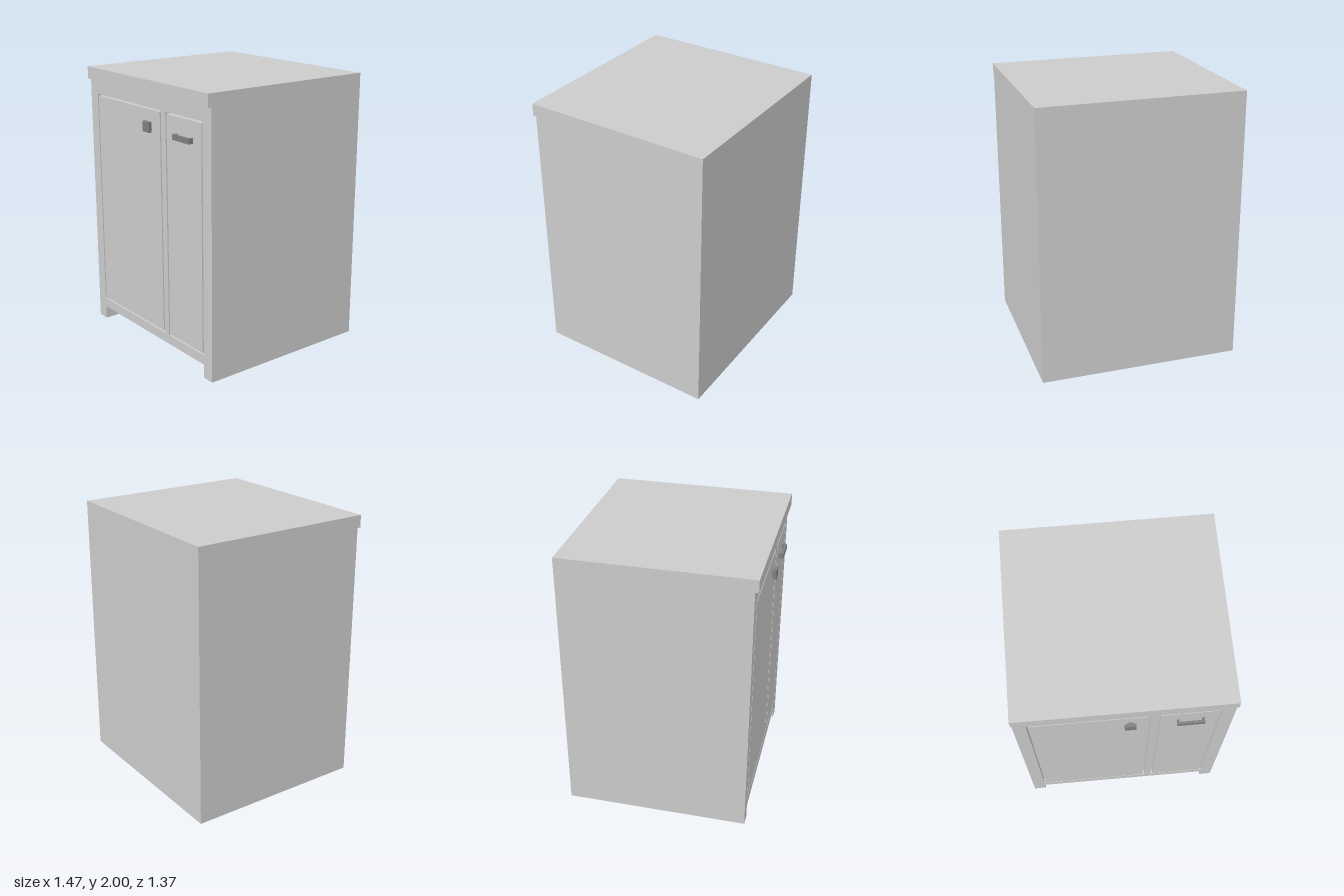
import * as THREE from 'three';

const W = 0.733, BACK = -0.685, KICK = 0.47, FRONT = 0.65, GAP_BACK = 0.61;

export function createModel() {
  const cabinet = new THREE.Group();
  cabinet.name = 'cabinet';
  const grey = new THREE.MeshStandardMaterial({ color: 0xcccccc });
  const dark = new THREE.MeshStandardMaterial({ color: 0x808080 });

  const add = (name, geometry, material = grey, parent = cabinet) => {
    const mesh = new THREE.Mesh(geometry, material);
    mesh.name = name;
    parent.add(mesh);
  };
  // Box given by its limits on each axis
  const box = (x0, x1, y0, y1, z0, z1) =>
    new THREE.BoxGeometry(x1 - x0, y1 - y0, z1 - z0)
      .translate((x0 + x1) / 2, (y0 + y1) / 2, (z0 + z1) / 2);

  // Front outline with the toe kick cut out between two feet
  const outline = () => new THREE.Shape([
    [-W, 0], [-0.643, 0], [-0.643, 0.1], [0.643, 0.1],
    [0.643, 0], [W, 0], [W, 2], [-W, 2],
  ].map(([x, y]) => new THREE.Vector2(x, y)));
  const slab = (shape, z0, z1) =>
    new THREE.ExtrudeGeometry(shape, { depth: z1 - z0, bevelEnabled: false }).translate(0, 0, z0);

  // Body: full block at the back, notched block above the toe kick
  add('body', box(-W, W, 0, 2, BACK, KICK));
  add('toeKickSurround', slab(outline(), KICK, GAP_BACK));

  // Face frame with openings, each holding a flush door with a narrow gap
  const frame = outline();
  const gap = 0.013, bottom = 0.17, top = 1.805;
  for (const [name, x0, x1] of [['wideDoor', -0.643, 0.175], ['narrowDoor', 0.227, 0.64]]) {
    frame.holes.push(new THREE.Path([
      [x0, bottom], [x0, top], [x1, top], [x1, bottom],
    ].map(([x, y]) => new THREE.Vector2(x, y))));
    add(name, box(x0 + gap, x1 - gap, bottom + gap, top - gap, GAP_BACK, FRONT));
  }
  add('faceFrame', slab(frame, GAP_BACK, FRONT));

  // Overhanging front edge of the worktop
  add('worktopLip', box(-W, W, 1.91, 2, FRONT, 0.675));

  // Square knob on a small stem
  const knob = new THREE.Group();
  knob.name = 'knob';
  add('knobPlate', box(0, 0.077, 1.637, 1.712, 0.663, 0.685), dark, knob);
  add('knobStem', box(0.015, 0.062, 1.65, 1.698, FRONT, 0.663), dark, knob);

  // Bar handle on two end posts
  const handle = new THREE.Group();
  handle.name = 'handle';
  add('handleBar', box(0.35, 0.535, 1.64, 1.678, 0.668, 0.685), dark, handle);
  for (const x of [0.35, 0.52])
    add('handlePost', box(x, x + 0.015, 1.64, 1.678, FRONT, 0.668), dark, handle);

  cabinet.add(knob, handle);
  return cabinet;
}
